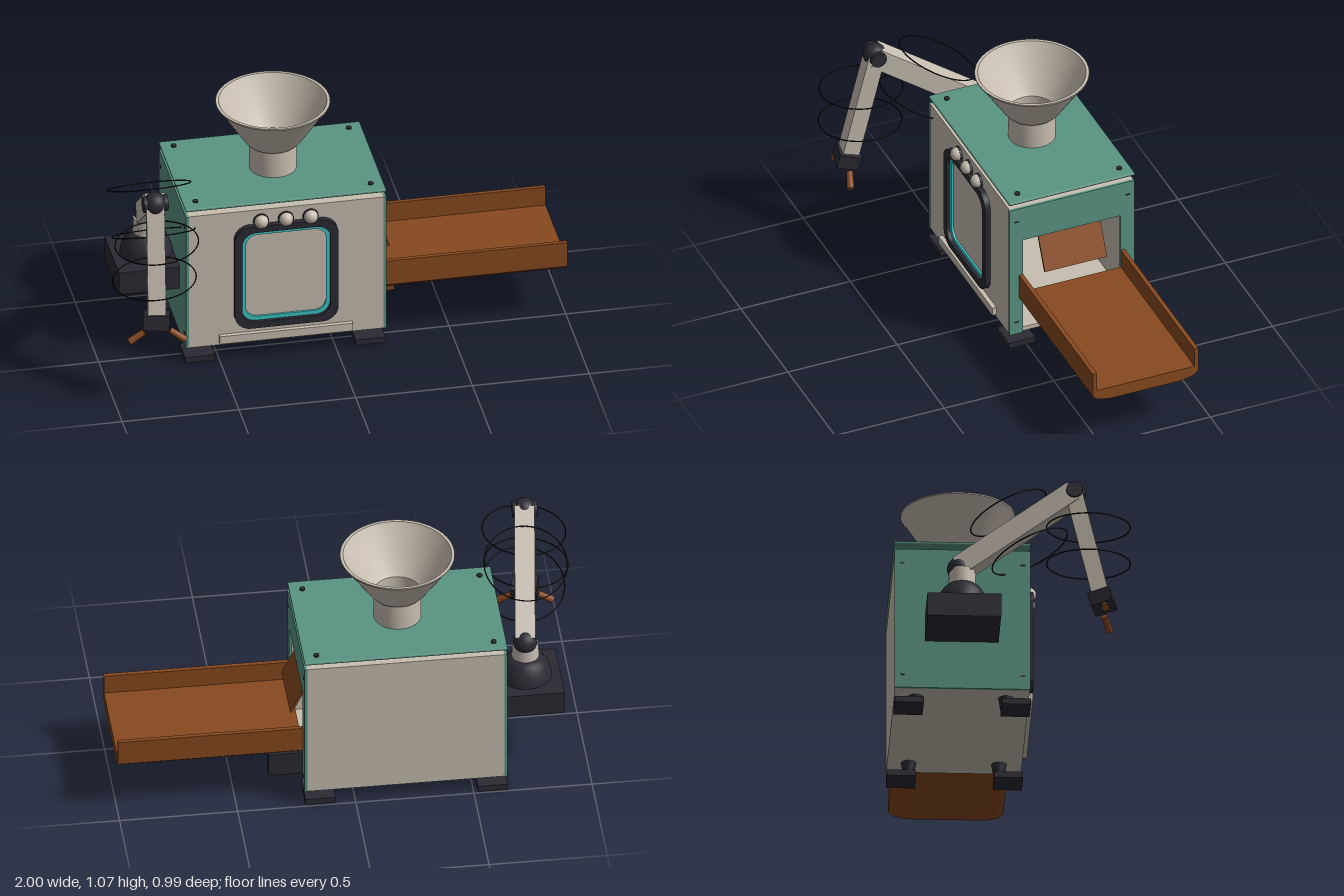
import * as THREE from 'three';
import { RoundedBoxGeometry } from 'three/addons/geometries/RoundedBoxGeometry.js';
import { toCreasedNormals } from 'three/addons/utils/BufferGeometryUtils.js';

const flat = (name, color, side = THREE.FrontSide) => {
  const m = new THREE.MeshStandardMaterial({ color, side });
  m.name = name;
  return m;
};

export function createModel() {
  const cream = flat('cream metal', 0xc8beb1);
  const green = flat('green panel', 0x5a9482);
  const brown = flat('brown chute', 0x87491f);
  const dark = flat('dark rubber', 0x2b2a33);
  const teal = flat('teal trim', 0x3cc4c6);
  const wire = flat('black wire', 0x111113);

  const root = new THREE.Group();
  root.name = 'foodMachine';
  const add = (name, geo, mat, x = 0, y = 0, z = 0) => {
    const m = new THREE.Mesh(geo, mat);
    m.name = name;
    m.position.set(x, y, z);
    root.add(m);
    return m;
  };
  // box given by its limits on each axis
  const box = (name, mat, x0, x1, y0, y1, z0, z1) =>
    add(name, new THREE.BoxGeometry(x1 - x0, y1 - y0, z1 - z0), mat, (x0 + x1) / 2, (y0 + y1) / 2, (z0 + z1) / 2);
  const V = (x, y, z) => new THREE.Vector3(x, y, z);
  // square bar between two points
  const bar = (name, mat, a, b, w, h) => {
    const m = add(name, new THREE.BoxGeometry(w, h, a.distanceTo(b)), mat);
    m.position.copy(a).add(b).multiplyScalar(0.5);
    m.lookAt(b);
    return m;
  };
  // round rod between two points
  const rod = (name, mat, a, b, r0, r1) => {
    const m = add(name, new THREE.CylinderGeometry(r1, r0, a.distanceTo(b), 16), mat);
    m.position.copy(a).add(b).multiplyScalar(0.5);
    m.quaternion.setFromUnitVectors(V(0, 1, 0), b.clone().sub(a).normalize());
    return m;
  };
  const roundRect = (P, x0, x1, y0, y1, r) => {
    const s = new P();
    s.moveTo(x0 + r, y0);
    s.lineTo(x1 - r, y0);
    s.absarc(x1 - r, y0 + r, r, -Math.PI / 2, 0);
    s.lineTo(x1, y1 - r);
    s.absarc(x1 - r, y1 - r, r, 0, Math.PI / 2);
    s.lineTo(x0 + r, y1);
    s.absarc(x0 + r, y1 - r, r, Math.PI / 2, Math.PI);
    s.lineTo(x0, y0 + r);
    s.absarc(x0 + r, y0 + r, r, Math.PI, Math.PI * 1.5);
    return s;
  };
  const extrude = (shape, depth) => new THREE.ExtrudeGeometry(shape, { depth, bevelEnabled: false, curveSegments: 8 });

  // hollow cabinet
  box('frontPanel', cream, -0.63, 0.205, 0.07, 0.71, 0.055, 0.077);
  box('backPanel', cream, -0.63, 0.205, 0.07, 0.71, -0.49, -0.47);
  box('cabinetFloor', cream, -0.63, 0.205, 0.07, 0.09, -0.47, 0.055);
  box('cabinetCeiling', cream, -0.63, 0.205, 0.69, 0.71, -0.47, 0.055);
  box('innerWall', cream, -0.63, -0.615, 0.09, 0.69, -0.47, 0.055);
  box('leftSidePanel', green, -0.642, -0.63, 0.07, 0.71, -0.492, 0.08);

  // outlet side: a frame open at the bottom; shape x is -z
  const side = new THREE.Shape([
    [-0.08, 0.07], [-0.018, 0.07], [-0.018, 0.545], [0.428, 0.545],
    [0.428, 0.07], [0.492, 0.07], [0.492, 0.71], [-0.08, 0.71],
  ].map(([a, b]) => new THREE.Vector2(a, b)));
  add('outletSidePanel', extrude(side, 0.012), green, 0.204).rotation.y = Math.PI / 2;

  // floating lid with bolts
  add('lid', new RoundedBoxGeometry(0.86, 0.013, 0.575, 2, 0.005), green, -0.214, 0.74, -0.207);
  for (const x of [-0.59, 0.16]) for (const z of [-0.445, 0.02])
    add('lidBolt', new THREE.CylinderGeometry(0.012, 0.012, 0.008, 12), dark, x, 0.749, z);
  for (const x of [-0.642, 0.216]) for (const y of [0.13, 0.645]) for (const z of [-0.46, 0.048])
    box('sideScrew', dark, x - 0.002, x + 0.002, y - 0.003, y + 0.003, z - 0.01, z + 0.01);

  // hopper: outer wall up, rim, inner wall down to its floor
  const hopper = [
    [0.1, 0.735], [0.1, 0.868], [0.112, 0.872], [0.125, 0.888], [0.222, 1.035], [0.241, 1.06], [0.241, 1.066],
    [0.228, 1.066], [0.21, 1.035], [0.115, 0.888], [0.1, 0.872], [0.097, 0.75], [0, 0.75],
  ].map(([r, y]) => new THREE.Vector2(r, y));
  add('hopper', toCreasedNormals(new THREE.LatheGeometry(hopper, 48), 0.6), cream, -0.213, 0, -0.207);

  // window frame and trim
  const frame = roundRect(THREE.Shape, -0.437, 0.007, 0.147, 0.643, 0.07);
  frame.holes.push(roundRect(THREE.Path, -0.405, -0.027, 0.178, 0.612, 0.06));
  add('windowFrame', extrude(frame, 0.024), dark, 0, 0, 0.077);
  const trim = roundRect(THREE.Shape, -0.405, -0.027, 0.178, 0.612, 0.06);
  trim.holes.push(roundRect(THREE.Path, -0.387, -0.043, 0.196, 0.594, 0.05));
  add('windowTrim', extrude(trim, 0.009), teal, 0, 0, 0.077);

  // knobs and crumb drawer
  for (const x of [-0.321, -0.215, -0.109]) {
    add('knobCollar', new THREE.CylinderGeometry(0.034, 0.034, 0.01, 24), dark, x, 0.656, 0.081).rotation.x = Math.PI / 2;
    add('knob', new THREE.SphereGeometry(0.03, 24, 16), cream, x, 0.658, 0.088);
  }
  box('drawer', cream, -0.5, 0.07, 0.083, 0.12, 0.077, 0.096);

  // feet
  for (const [x, px] of [[-0.545, -0.582], [0.113, 0.148]]) for (const [z, pz] of [[-0.02, 0.02], [-0.4, -0.43]]) {
    add('footStem', new THREE.CylinderGeometry(0.032, 0.025, 0.046, 20), dark, x, 0.048, z);
    box('footPad', dark, px - 0.064, px + 0.064, 0, 0.027, pz - 0.061, pz + 0.061);
  }

  // outlet chute with raised sides; shape x is -z
  const chute = new THREE.Shape([
    [-0.037, 0.37], [-0.037, 0.255], [-0.015, 0.236], [0.04, 0.225], [0.37, 0.225], [0.423, 0.236],
    [0.446, 0.255], [0.446, 0.37], [0.428, 0.37], [0.428, 0.282], [-0.018, 0.282], [-0.018, 0.37],
  ].map(([a, b]) => new THREE.Vector2(a, b)));
  add('chute', extrude(chute, 0.783), brown, 0.217).rotation.y = Math.PI / 2;
  bar('outletFlap', brown, V(0.175, 0.545, -0.205), V(0.255, 0.383, -0.205), 0.284, 0.01);
  box('chuteMotor', dark, 0.205, 0.36, 0.122, 0.23, -0.43, -0.384);
  box('chutePeg', brown, 0.2, 0.265, 0.212, 0.23, -0.026, 0.01);

  // robot arm: base, shoulder, two links, gripper
  const shoulder = V(-0.752, 0.568, -0.225), elbow = V(-0.81, 0.9, 0.255), wrist = V(-0.826, 0.41, 0.37);
  box('armBase', dark, -0.902, -0.642, 0.285, 0.39, -0.365, -0.055);
  const dome = [[0.112, 0.385], [0.11, 0.41], [0.098, 0.445], [0.078, 0.475], [0.06, 0.49], [0, 0.49]]
    .map(([r, y]) => new THREE.Vector2(r, y));
  add('armDome', new THREE.LatheGeometry(dome, 32), dark, -0.754, 0, -0.213);
  add('armPost', new THREE.CylinderGeometry(0.055, 0.058, 0.075, 28), cream, -0.754, 0.522, -0.213);
  add('shoulderJoint', new THREE.SphereGeometry(0.052, 20, 14), dark).position.copy(shoulder);
  bar('upperArm', cream, shoulder, elbow, 0.085, 0.09);
  add('elbowJoint', new THREE.SphereGeometry(0.05, 20, 14), dark).position.copy(elbow);
  rod('elbowPin', dark, V(-0.862, 0.9, 0.255), V(-0.758, 0.9, 0.255), 0.035, 0.035);
  bar('forearm', cream, elbow, wrist, 0.076, 0.072);
  bar('gripperHousing', dark, V(-0.824, 0.43, 0.365), V(-0.828, 0.368, 0.381), 0.11, 0.095);
  rod('leftFinger', brown, V(-0.772, 0.355, 0.385), V(-0.71, 0.313, 0.408), 0.013, 0.016);
  rod('rightFinger', brown, V(-0.882, 0.355, 0.38), V(-0.945, 0.315, 0.382), 0.013, 0.016);

  // wire hoops around both links
  for (const [name, x, y, z, rx, rz] of [
    ['forearmHoop', -0.815, 0.743, 0.315, 0, 0.07], ['forearmHoop', -0.825, 0.57, 0.315, 0, 0.07],
    ['upperArmHoop', -0.78, 0.822, -0.02, -0.46, 0.02], ['upperArmHoop', -0.78, 0.645, 0.07, -0.46, 0.02],
  ]) {
    const hoop = new THREE.TorusGeometry(0.176, 0.0028, 6, 56).rotateX(Math.PI / 2);
    add(name, hoop, wire, x, y, z).rotation.set(rx, 0, rz);
  }

  return root;
}
